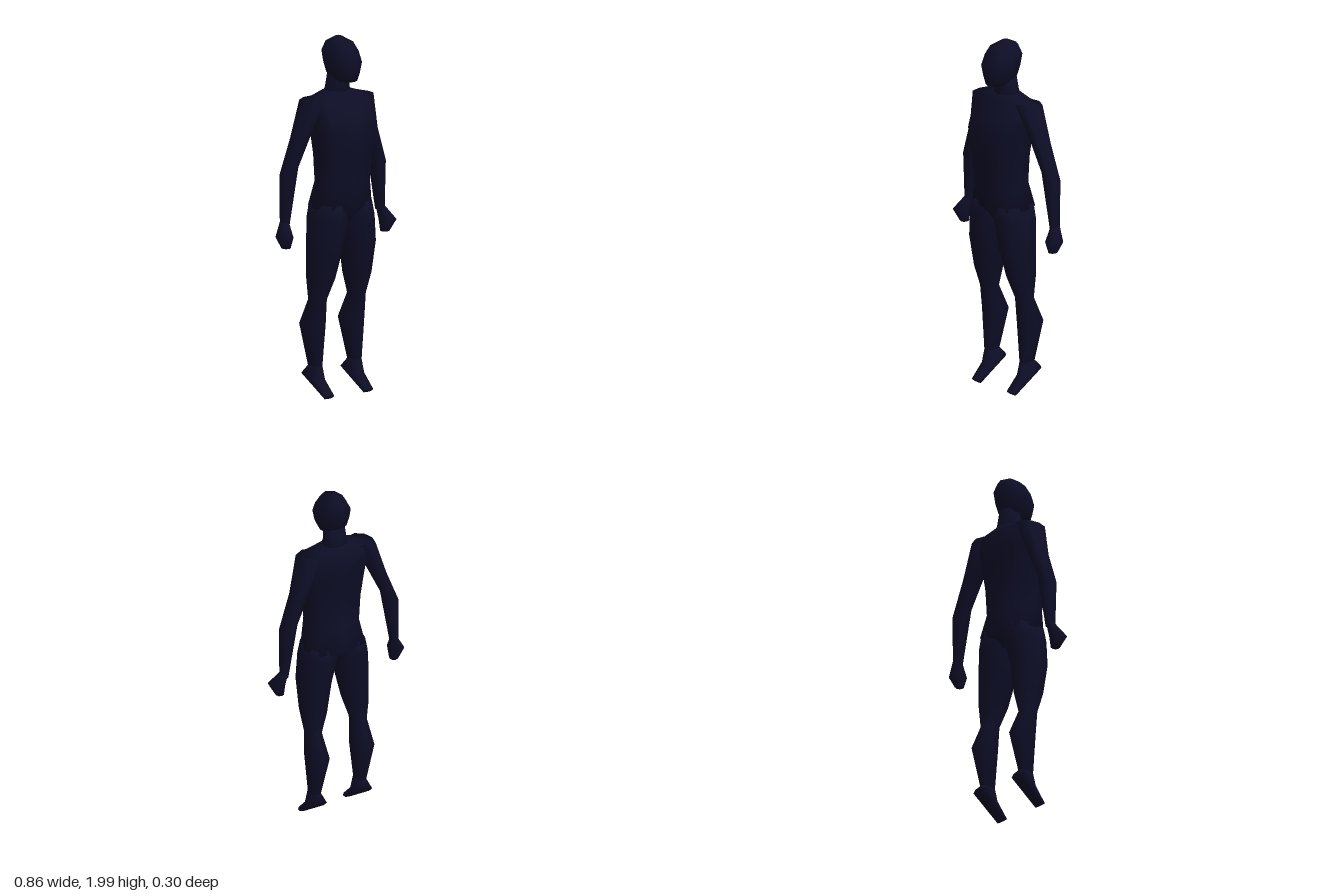
import * as THREE from 'three';

const SIDES = 8;

// Closed smooth loft through rings listed bottom to top.
// Ring: [y, xMin, xMax, zBack, zFront, tiltX = 0, tiltZ = 0]; tilts raise the +x / +z side.
function loft(rings, power = 0.85) {
  const pos = [], index = [];
  const shape = v => Math.sign(v) * Math.pow(Math.abs(v), power);
  for (const [y, x0, x1, z0, z1, tx = 0, tz = 0] of rings) {
    for (let j = 0; j < SIDES; j++) {
      const a = j / SIDES * Math.PI * 2;
      const c = shape(Math.cos(a)), s = shape(Math.sin(a));
      pos.push((x0 + x1) / 2 + (x1 - x0) / 2 * c, y + tx * c + tz * s, (z0 + z1) / 2 + (z1 - z0) / 2 * s);
    }
  }
  const last = rings.length - 1;
  for (const [y, x0, x1, z0, z1] of [rings[0], rings[last]]) pos.push((x0 + x1) / 2, y, (z0 + z1) / 2);
  const bottom = rings.length * SIDES, top = bottom + 1;
  for (let j = 0; j < SIDES; j++) {
    const k = (j + 1) % SIDES;
    for (let i = 0; i < last; i++) {
      const a = i * SIDES + j, b = a + SIDES, c = i * SIDES + k, d = c + SIDES;
      index.push(a, b, c, c, b, d);
    }
    index.push(bottom, j, k, top, last * SIDES + k, last * SIDES + j);
  }
  const g = new THREE.BufferGeometry();
  g.setAttribute('position', new THREE.Float32BufferAttribute(pos, 3));
  g.setIndex(index);
  g.computeVertexNormals();
  return g;
}

const mirror = rings => rings.map(([y, x0, x1, z0, z1, tx = 0, tz = 0]) => [y, -x1, -x0, z0, z1, -tx, tz]);

export function createModel() {
  const model = new THREE.Group();
  model.name = 'figure';
  const navy = new THREE.MeshStandardMaterial({ color: 0x0d0d26 });
  navy.name = 'darkNavy';

  const add = (name, rings, power) => {
    const mesh = new THREE.Mesh(loft(rings, power), navy);
    mesh.name = name;
    model.add(mesh);
  };

  // Torso from pelvis to collar
  add('torso', [
    [0.98, -0.05, 0.05, -0.07, 0.06],
    [1.06, -0.185, 0.185, -0.14, 0.12],
    [1.20, -0.158, 0.158, -0.105, 0.125],
    [1.35, -0.168, 0.168, -0.11, 0.137],
    [1.49, -0.19, 0.19, -0.122, 0.15],
    [1.57, -0.20, 0.20, -0.13, 0.115],
    [1.66, -0.21, 0.21, -0.12, 0.06],
    [1.70, -0.08, 0.08, -0.095, 0.03],
  ], 0.72);

  // Neck
  add('neck', [
    [1.66, -0.09, 0.09, -0.10, 0.04],
    [1.72, -0.066, 0.066, -0.09, 0.03],
    [1.81, -0.055, 0.055, -0.08, 0.05],
  ]);

  // Head with a jutting chin
  add('head', [
    [1.757, -0.05, 0.05, -0.02, 0.105],
    [1.80, -0.078, 0.078, -0.08, 0.113],
    [1.86, -0.09, 0.09, -0.10, 0.125],
    [1.92, -0.087, 0.087, -0.115, 0.098],
    [1.97, -0.058, 0.058, -0.098, 0.072],
    [2.00, -0.012, 0.012, -0.035, 0.0],
  ]);

  const limbs = {
    Arm: [
      [0.98, 0.335, 0.375, -0.10, -0.04],
      [1.28, 0.275, 0.377, -0.115, -0.02, -0.03],
      [1.47, 0.19, 0.30, -0.115, 0.0, -0.02],
      [1.665, 0.10, 0.237, -0.12, 0.045, -0.008],
    ],
    Hand: [
      [0.86, 0.345, 0.39, -0.07, -0.02],
      [0.925, 0.34, 0.428, -0.09, 0.01],
      [1.00, 0.338, 0.376, -0.10, -0.04],
    ],
    Leg: [
      [0.18, 0.12, 0.172, -0.10, 0.0],
      [0.41, 0.08, 0.208, -0.148, 0.0],
      [0.55, 0.10, 0.19, -0.085, 0.02],
      [0.67, 0.065, 0.204, -0.10, 0.065],
      [0.85, 0.03, 0.21, -0.105, 0.105],
      [1.00, 0.0, 0.195, -0.125, 0.117],
      [1.08, 0.02, 0.175, -0.12, 0.11],
    ],
    // Foot pointing downward with the heel raised
    Foot: [
      [0.018, 0.11, 0.18, 0.05, 0.075, 0, 0.012],
      [0.118, 0.10, 0.192, -0.145, 0.012, 0, -0.02],
      [0.18, 0.12, 0.172, -0.10, 0.0],
    ],
  };
  for (const [name, rings] of Object.entries(limbs)) {
    add('left' + name, rings);
    add('right' + name, mirror(rings));
  }
  return model;
}
